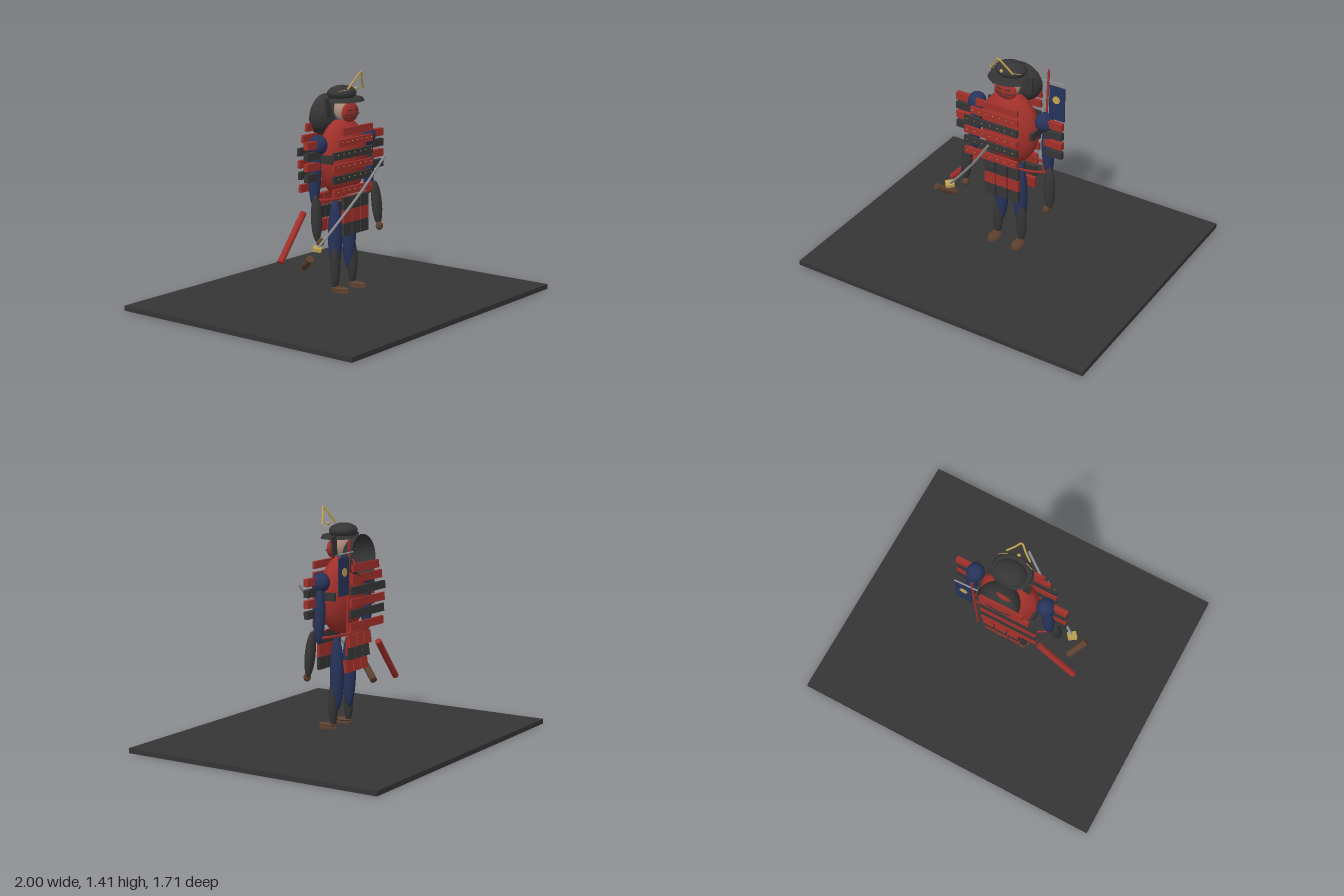
import * as THREE from 'three';

const mat = (color, side = THREE.FrontSide) => new THREE.MeshStandardMaterial({ color, side });
const RED = mat(0xa0302a), DARK = mat(0x343534), BLUE = mat(0x27335a), BROWN = mat(0x5c4030);
const GOLD = mat(0xc2a350), STEEL = mat(0x8c8f92), SKIN = mat(0xb08f7c);
const V = (x, y, z) => new THREE.Vector3(x, y, z);

export function createModel() {
  const root = new THREE.Group();

  const add = (name, geo, material, pos = [0, 0, 0], rot = [0, 0, 0], parent = root) => {
    const m = new THREE.Mesh(geo, material);
    m.name = name;
    m.position.set(...pos);
    m.rotation.set(...rot);
    parent.add(m);
    return m;
  };
  const box = (name, material, size, pos, rot, parent) =>
    add(name, new THREE.BoxGeometry(...size), material, pos, rot, parent);
  const ball = (name, material, radii, pos, rot, parent) =>
    add(name, new THREE.SphereGeometry(1, 32, 20).scale(...radii), material, pos, rot, parent);
  // Straight round bar between two points
  const rod = (name, material, a, b, r) => {
    const m = add(name, new THREE.CylinderGeometry(r, r, a.distanceTo(b), 16), material);
    m.position.copy(a).lerp(b, 0.5);
    m.quaternion.setFromUnitVectors(V(0, 1, 0), b.clone().sub(a).normalize());
    return m;
  };
  const tube = (name, material, points, r) =>
    add(name, new THREE.TubeGeometry(new THREE.CatmullRomCurve3(points), 24, r, 8), material);

  // Ground slab
  box('base', DARK, [2, 0.03, 1.71], [0, 0.015, 0]);

  // Legs, arms and shoulder plates, mirrored
  for (const s of [-1, 1]) {
    const side = s > 0 ? 'left' : 'right';
    ball(side + 'Thigh', BLUE, [0.044, 0.23, 0.042], [s * 0.068, 0.41, 0.005]);
    ball(side + 'Shin', DARK, [0.034, 0.145, 0.028], [s * 0.085, 0.225, 0.02]);
    ball(side + 'Foot', BROWN, [0.033, 0.012, 0.06], [s * 0.085, 0.095, 0.06]);
    const sole = add(side + 'Sandal', new THREE.CylinderGeometry(1, 1, 0.01, 24), BROWN, [s * 0.085, 0.077, 0.06]);
    sole.scale.set(0.034, 1, 0.062);
    ball(side + 'Shoulder', BLUE, [0.056, 0.06, 0.056], [s * 0.235, 0.985, 0.01]);
    ball(side + 'UpperArm', BLUE, [0.038, 0.18, 0.036], [s * 0.258, 0.8, 0.005], [0, 0, s * 0.05]);
    ball(side + 'Forearm', DARK, [0.036, 0.14, 0.03], [s * 0.295, 0.56, 0.045], [-0.08, 0, s * 0.05]);
    ball(side + 'Hand', BROWN, [0.024, 0.026, 0.022], [s * 0.29, 0.42, 0.07]);
    for (let i = 0; i < 4; i++)
      box(side + 'ShoulderPlate', i % 2 ? DARK : RED, [0.12, 0.046, 0.03], [s * 0.308, 0.995 - i * 0.064, 0.025]);
    box(side + 'FlankPlate', DARK, [0.02, 0.05, 0.14], [s * 0.185, 0.895, 0.01]);
    box(side + 'HelmetWing', DARK, [0.045, 0.115, 0.014], [s * 0.118, 1.19, -0.008], [0, 0, -s * 0.08]);
  }

  // Body
  ball('torso', RED, [0.192, 0.24, 0.11], [0, 0.885, 0.01]);
  ball('collar', BLUE, [0.06, 0.07, 0.045], [0, 1.08, 0.005]);
  ball('head', SKIN, [0.07, 0.078, 0.055], [0, 1.175, 0.02]);
  const belt = add('belt', new THREE.TorusGeometry(0.27, 0.009, 8, 48), RED, [0, 0.66, 0.01], [Math.PI / 2, 0, 0]);
  belt.scale.set(1, 0.33, 1);

  // Banded breastplate and backplate; each row is [centre y, left edge x]
  const rows = [[1.065, -0.16], [1.0, -0.2], [0.928, -0.245], [0.855, -0.245], [0.787, -0.245], [0.71, -0.245]];
  rows.forEach(([y, x0], i) => {
    const w = 0.125 - x0, cx = (0.125 + x0) / 2;
    const color = i === 2 || i === 4 ? DARK : RED;
    box('chestBand', color, [w, 0.044, 0.018], [cx, y, 0.133]);
    box('backBand', color, [w, 0.048, 0.018], [cx, y, -0.142 + i * 0.004], [0.08, 0, 0]);
    for (let k = 0; k < 7 && i > 0; k++)
      add('lacingStud', new THREE.SphereGeometry(0.0035, 8, 6), GOLD, [x0 + w * (k + 0.5) / 7, y + 0.008, 0.15]);
  });

  // Skirt panels, front and back
  for (const x of [-0.083, 0, 0.083])
    for (let i = 0; i < 3; i++) {
      box('frontSkirtPlate', i === 1 ? RED : DARK, [0.073, 0.076, 0.02], [x, 0.625 - i * 0.078, 0.105]);
      box('backSkirtPlate', i === 1 ? DARK : RED, [0.073, 0.076, 0.02], [x, 0.625 - i * 0.078, -0.11 + i * 0.012], [0.15, 0, 0]);
    }

  // Face mask with eye slits and moustache
  ball('mask', RED, [0.075, 0.06, 0.026], [0, 1.16, 0.066]);
  box('mouth', DARK, [0.045, 0.006, 0.008], [0, 1.128, 0.086]);
  for (const s of [-1, 1]) {
    box('eyeSlit', DARK, [0.032, 0.007, 0.012], [s * 0.028, 1.175, 0.085], [0, 0, s * 0.12]);
    rod('moustache', DARK, V(s * 0.008, 1.145, 0.093), V(s * 0.065, 1.15, 0.085), 0.003);
  }

  // Helmet: dome, brim, rear neck guard and gold crest
  ball('helmetDome', DARK, [0.1, 0.047, 0.08], [0, 1.27, 0.003]);
  const brim = add('helmetBrim', new THREE.CylinderGeometry(0.9, 1, 0.02, 40), DARK, [0, 1.235, 0.03]);
  brim.scale.set(0.13, 1, 0.105);
  const guard = new THREE.SphereGeometry(1, 36, 16, 0, Math.PI * 2, 0, Math.PI / 2)
    .rotateX(Math.PI / 2).scale(0.13, 0.127, 0.125);
  add('neckGuard', guard, mat(0x343534, THREE.DoubleSide), [0, 1.13, -0.142], [0.1, 0, 0]);
  tube('crest', GOLD, [V(-0.075, 1.305, 0.105), V(-0.035, 1.36, 0.125), V(0, 1.405, 0.145),
    V(0.035, 1.36, 0.125), V(0.075, 1.305, 0.105)], 0.006);
  ball('crestBoss', GOLD, [0.011, 0.011, 0.009], [0, 1.307, 0.11]);
  for (const s of [-1, 1])
    rod('crestPin', GOLD, V(s * 0.06, 1.3, 0.09), V(s * 0.11, 1.295, 0.07), 0.002);

  // Back banner
  rod('bannerPole', RED, V(0.155, 0.55, -0.12), V(0.168, 1.24, -0.148), 0.007);
  rod('bannerCrossbar', STEEL, V(0.13, 1.165, -0.146), V(0.28, 1.165, -0.152), 0.005);
  box('banner', BLUE, [0.105, 0.225, 0.008], [0.228, 1.03, -0.146]);
  for (const z of [-0.1405, -0.1515])
    add('bannerDisc', new THREE.CylinderGeometry(0.025, 0.025, 0.004, 24), GOLD, [0.224, 1.055, z], [Math.PI / 2, 0, 0]);

  // Sheath at the right hip
  rod('sheath', RED, V(-0.25, 0.57, -0.09), V(-0.485, 0.31, -0.075), 0.02);

  // Sword: slightly curved blade, guard and grip
  tube('blade', STEEL, [V(-0.375, 0.4, 0.115), V(-0.24, 0.555, 0.175), V(-0.1, 0.73, 0.24), V(0.035, 0.92, 0.3)], 0.008);
  box('swordGuard', GOLD, [0.055, 0.022, 0.05], [-0.375, 0.4, 0.115], [0.2, 0.65, 0]);
  rod('swordGrip', BROWN, V(-0.465, 0.36, 0.135), V(-0.395, 0.285, 0.03), 0.022);

  return root;
}
